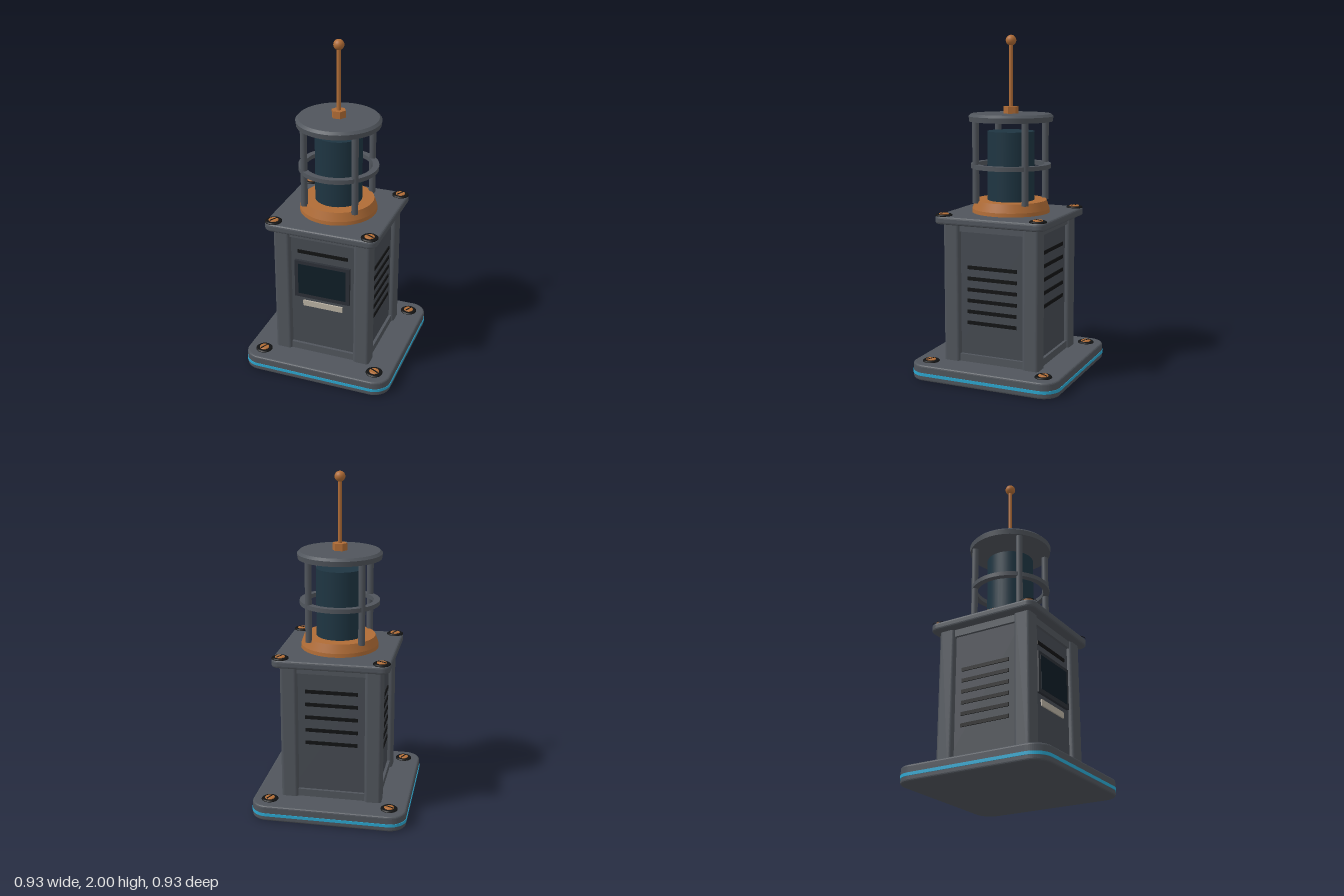
import * as THREE from 'three';

const mat = (color) => new THREE.MeshStandardMaterial({ color });
const metal = mat(0x50555c);
const panelGrey = mat(0x454a51);
const copper = mat(0xb06c36);
const glass = mat(0x1e3542);
const black = mat(0x121314);
const blue = mat(0x2ba6cf);
const frameGrey = mat(0x2b2f36);
const screenDark = mat(0x0f1d26);
const cream = mat(0xb8b0a2);

function add(parent, name, geometry, material, x = 0, y = 0, z = 0) {
  const mesh = new THREE.Mesh(geometry, material);
  mesh.name = name;
  mesh.position.set(x, y, z);
  parent.add(mesh);
  return mesh;
}

// Upright slab with rounded corners, standing on its own y = 0
function slab(half, radius, height, bevel) {
  const h = half - bevel, r = radius - bevel;
  const s = new THREE.Shape();
  s.moveTo(-h + r, -h);
  s.absarc(h - r, -h + r, r, -Math.PI / 2, 0);
  s.absarc(h - r, h - r, r, 0, Math.PI / 2);
  s.absarc(-h + r, h - r, r, Math.PI / 2, Math.PI);
  s.absarc(-h + r, -h + r, r, Math.PI, Math.PI * 1.5);
  const g = new THREE.ExtrudeGeometry(s, {
    depth: height - 2 * bevel, bevelEnabled: bevel > 0, bevelSize: bevel,
    bevelThickness: bevel, bevelSegments: 3, curveSegments: 8,
  });
  return g.rotateX(-Math.PI / 2).translate(0, bevel, 0);
}

const cylinder = (r, h, sides = 32) => new THREE.CylinderGeometry(r, r, h, sides);
const box = (w, h, d) => new THREE.BoxGeometry(w, h, d);

// Lathe from [radius, y] points with hard edges between the bands
function turned(points) {
  const g = new THREE.BufferGeometry();
  const pos = [], nor = [], idx = [], n = 48;
  for (let i = 0; i < points.length - 1; i++) {
    const band = new THREE.LatheGeometry(
      [points[i], points[i + 1]].map(([r, y]) => new THREE.Vector2(r, y)), n);
    const start = pos.length / 3;
    pos.push(...band.attributes.position.array);
    nor.push(...band.attributes.normal.array);
    for (const k of band.index.array) idx.push(k + start);
  }
  g.setAttribute('position', new THREE.Float32BufferAttribute(pos, 3));
  g.setAttribute('normal', new THREE.Float32BufferAttribute(nor, 3));
  g.setIndex(idx);
  return g;
}

// Slotted screw on a black washer
function screw(name, x, y, z) {
  const g = new THREE.Group();
  g.name = name;
  add(g, 'washer', turned([[0.05, 0], [0.05, 0.004], [0.044, 0.009], [0, 0.009]]), black);
  add(g, 'screwHead', turned([[0.029, 0], [0.029, 0.012], [0.024, 0.015], [0, 0.015]]), copper);
  add(g, 'screwSlot', box(0.054, 0.004, 0.008), black, 0, 0.0145, 0);
  g.position.set(x, y, z);
  g.rotation.y = x * z > 0 ? -0.45 : 1.12;
  return g;
}

export function createModel() {
  const model = new THREE.Group();
  model.name = 'beaconTerminal';

  // Base plate with its light strip
  add(model, 'basePlate', slab(0.46, 0.1, 0.095, 0.012), metal);
  add(model, 'lightStrip', slab(0.463, 0.103, 0.018, 0), blue, 0, 0.031, 0);

  // Body core, corner posts and top plate
  add(model, 'bodyCore', box(0.54, 0.83, 0.54), panelGrey, 0, 0.505, 0);
  add(model, 'topPlate', slab(0.345, 0.05, 0.048, 0.014), metal, 0, 0.915, 0);
  for (const sx of [-1, 1]) for (const sz of [-1, 1]) {
    add(model, 'cornerPost', slab(0.051, 0.02, 0.83, 0), metal, sx * 0.25, 0.09, sz * 0.25);
    model.add(screw('baseScrew', sx * 0.358, 0.094, sz * 0.358));
    model.add(screw('topScrew', sx * 0.295, 0.962, sz * 0.295));
  }

  // Four faces: front, left, back, right
  for (let i = 0; i < 4; i++) {
    const face = new THREE.Group();
    face.name = ['frontFace', 'leftFace', 'backFace', 'rightFace'][i];
    face.rotation.y = i * Math.PI / 2;
    model.add(face);
    add(face, 'lowerRail', box(0.4, 0.045, 0.03), metal, 0, 0.117, 0.272);
    add(face, 'upperRail', box(0.4, 0.045, 0.03), metal, 0, 0.895, 0.272);
    const slot = (y) => add(face, 'ventSlot', box(0.312, 0.021, 0.012), black, 0, y, 0.27);
    if (i === 0) {
      slot(0.78);
      add(face, 'screenFrame', box(0.345, 0.245, 0.03), frameGrey, 0, 0.6, 0.273);
      add(face, 'screen', box(0.3, 0.2, 0.01), screenDark, 0, 0.602, 0.285);
      add(face, 'labelPlate', box(0.25, 0.036, 0.014), cream, 0, 0.431, 0.272);
    } else if (i === 2) {
      for (let k = 0; k < 5; k++) slot(0.44 + k * 0.08);
    } else {
      for (let k = 0; k < 6; k++) slot(0.331 + k * 0.0662);
    }
  }

  // Lamp: collar, glass and cage
  add(model, 'lampCollar', turned([[0.232, 0.96], [0.23, 0.985], [0.212, 1.036], [0, 1.036]]), copper);
  add(model, 'lampGlass', cylinder(0.14, 0.42, 40), glass, 0, 1.232, 0);
  for (const sx of [-1, 1]) for (const sz of [-1, 1])
    add(model, 'cageBar', cylinder(0.02, 0.49, 16), metal, sx * 0.156, 1.27, sz * 0.156);
  add(model, 'cageRing', turned([
    [0.2, 1.226], [0.237, 1.226], [0.237, 1.252], [0.2, 1.252], [0.2, 1.226]]), metal);
  add(model, 'lampCap', turned([
    [0, 1.5], [0.246, 1.5], [0.25, 1.53], [0.235, 1.545], [0, 1.545]]), metal);

  // Aerial
  const nut = add(model, 'aerialNut', cylinder(0.043, 0.045, 6), copper, 0, 1.565, 0);
  nut.material = copper.clone();
  nut.material.flatShading = true;
  nut.rotation.y = Math.PI / 6;
  add(model, 'aerialRod', cylinder(0.012, 0.38, 16), copper, 0, 1.765, 0);
  add(model, 'aerialTip', new THREE.SphereGeometry(0.031, 24, 16), copper, 0, 1.969, 0);

  return model;
}
